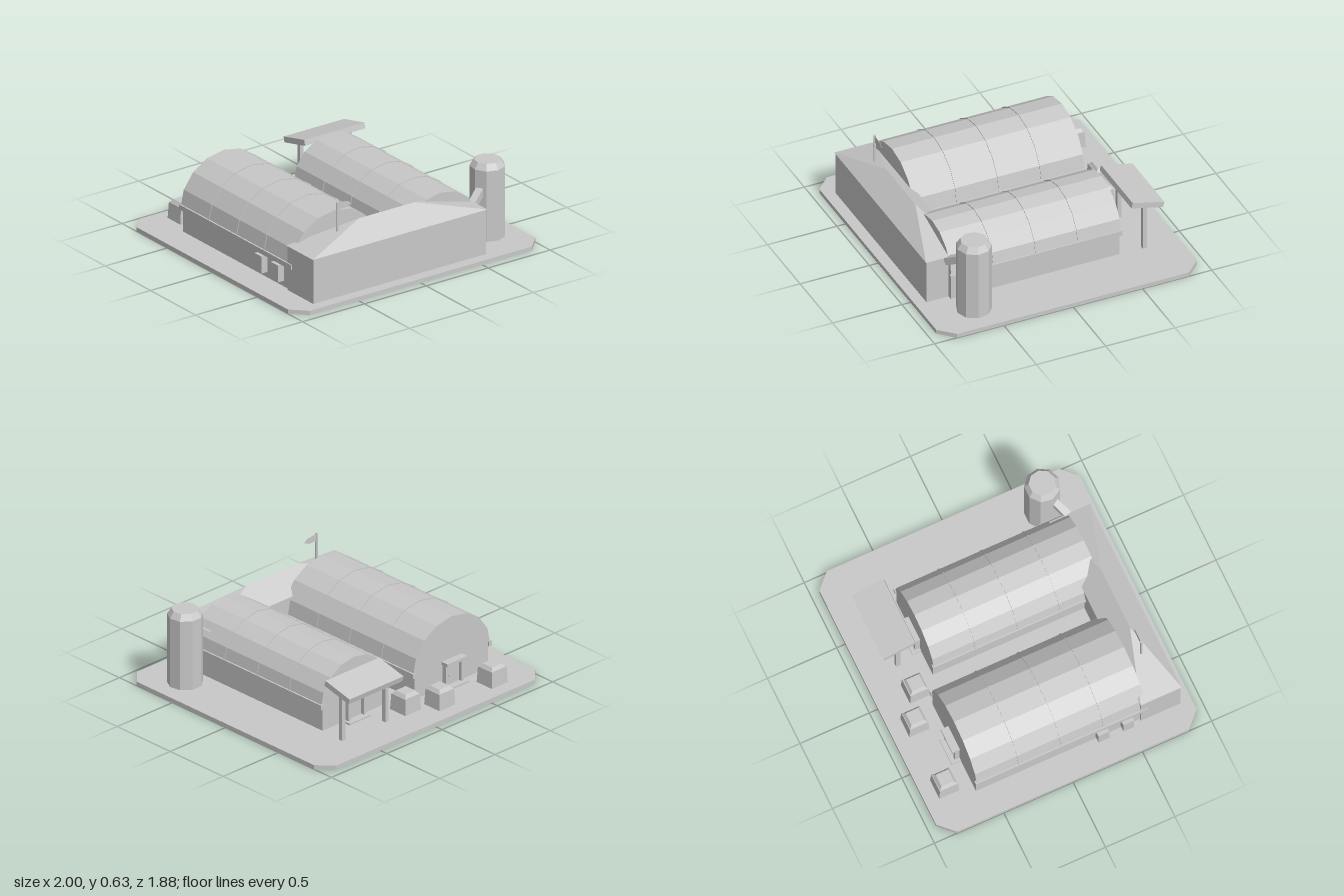
import * as THREE from 'three';

export function createModel() {
  const model = new THREE.Group();
  const concrete = new THREE.MeshStandardMaterial({ color: 0xc8c8c8, flatShading: true });
  concrete.name = 'pale grey';

  const add = (parent, name, geo, x = 0, y = 0, z = 0) => {
    const m = new THREE.Mesh(geo, concrete);
    m.name = name;
    m.position.set(x, y, z);
    parent.add(m);
    return m;
  };
  // Box given by its lowest y
  const box = (parent, name, w, h, d, x, y, z) =>
    add(parent, name, new THREE.BoxGeometry(w, h, d), x, y + h / 2, z);
  const extrude = (pts, depth) => new THREE.ExtrudeGeometry(
    new THREE.Shape(pts.map(p => new THREE.Vector2(...p))), { depth, bevelEnabled: false });
  // Eight-sided half ellipse
  const arch = (rx, ry) => Array.from({ length: 9 }, (_, i) => {
    const a = i * Math.PI / 8;
    return [rx * Math.cos(a), ry * Math.sin(a)];
  });

  // Ground slab with cut corners
  const c = 0.103, h = 0.94;
  const slab = add(model, 'groundSlab', extrude([
    [-1, -h + c], [-1 + c, -h], [1 - c, -h], [1, -h + c],
    [1, h - c], [1 - c, h], [-1 + c, h], [-1, h - c]], 0.03));
  slab.rotation.x = -Math.PI / 2;

  // Arched sheds
  function shed(name, x, z, half, spring, rise, length) {
    const g = new THREE.Group();
    g.name = name;
    g.position.set(x, 0, z);
    model.add(g);
    box(g, 'walls', half * 2 - 0.035, spring, length - 0.004, 0, 0, 0);
    add(g, 'archedRoof', extrude(arch(half, rise), length), 0, spring, -length / 2);
    for (const t of [-0.305, 0, 0.305]) {
      add(g, 'roofRib', extrude(arch(half + 0.004, rise + 0.006), 0.012), 0, spring, t - 0.006);
    }
    for (const s of [-1, 1]) {
      box(g, 'eaveBeam', 0.026, 0.035, length + 0.016, s * (half - 0.007), 0.19, 0);
    }
    // Rear doorway
    const back = -length / 2;
    box(g, 'doorStep', 0.2, 0.012, 0.065, 0, 0.03, back - 0.03);
    box(g, 'door', 0.11, 0.16, 0.016, 0, 0.035, back - 0.004);
    for (const s of [-1, 1]) box(g, 'doorPost', 0.022, 0.17, 0.035, s * 0.07, 0.03, back - 0.015);
    box(g, 'doorHood', 0.18, 0.022, 0.055, 0, 0.2, back - 0.026);
    add(g, 'doorKnob', new THREE.SphereGeometry(0.008, 6, 4), 0.035, 0.11, back - 0.018);
  }
  shed('largeShed', -0.464, 0.006, 0.35, 0.2, 0.325, 1.226);
  shed('smallShed', 0.335, 0.093, 0.298, 0.2, 0.275, 1.222);

  // Front hall with hipped roof
  box(model, 'hallWalls', 1.394, 0.317, 0.285, -0.115, 0.03, 0.7195);
  const E = [[-0.82, 0.347, 0.868], [0.59, 0.347, 0.868], [0.59, 0.347, 0.572], [-0.82, 0.347, 0.572]];
  const L = [-0.34, 0.47, 0.72], R = [0.11, 0.47, 0.72];
  const faces = [E[0], E[1], R, E[0], R, L, E[1], E[2], R, E[2], E[3], L, E[2], L, R,
    E[3], E[0], L, E[0], E[3], E[2], E[0], E[2], E[1]];
  const hip = new THREE.BufferGeometry();
  hip.setAttribute('position', new THREE.Float32BufferAttribute(faces.flat(), 3));
  hip.computeVertexNormals();
  add(model, 'hallRoof', hip);

  // Side boxes on the large shed
  for (const z of [0.295, 0.475]) box(model, 'sideVent', 0.05, 0.12, 0.078, -0.82, 0.07, z);

  // Flag
  add(model, 'flagPole', new THREE.CylinderGeometry(0.009, 0.009, 0.23, 8), -0.515, 0.515, 0.72);
  add(model, 'flag', extrude([[-0.51, 0.575], [-0.45, 0.575], [-0.4, 0.593],
    [-0.43, 0.617], [-0.51, 0.627]], 0.002), 0, 0, 0.719);

  // Silo and its sloping chute
  add(model, 'siloBody', new THREE.CylinderGeometry(0.119, 0.119, 0.5, 9), 0.778, 0.28, 0.612);
  add(model, 'siloCap', new THREE.CylinderGeometry(0.09, 0.119, 0.042, 9), 0.778, 0.551, 0.612);
  const from = new THREE.Vector3(0.7, 0.39, 0.65), to = new THREE.Vector3(0.575, 0.315, 0.712);
  const chute = add(model, 'chute', new THREE.BoxGeometry(0.05, 0.05, from.distanceTo(to)));
  chute.position.copy(from).lerp(to, 0.5);
  chute.lookAt(to);

  // Rear canopy on two posts
  const canopy = add(model, 'canopyRoof', new THREE.BoxGeometry(0.488, 0.04, 0.234), 0.417, 0.392, -0.699);
  canopy.rotation.x = -0.235;
  for (const s of [-1, 1]) box(model, 'canopyPost', 0.03, 0.35, 0.03, 0.415 + s * 0.195, 0.03, -0.695);

  // Crates with bevelled lids
  const frustum = (top, bottom, height) => new THREE.CylinderGeometry(
    top * Math.SQRT1_2, bottom * Math.SQRT1_2, height, 4).rotateY(Math.PI / 4);
  for (const [x, z] of [[-0.673, -0.772], [-0.203, -0.767], [0.007, -0.664]]) {
    const g = new THREE.Group();
    g.name = 'crate';
    g.position.set(x, 0, z);
    model.add(g);
    add(g, 'crateBody', frustum(0.132, 0.144, 0.115), 0, 0.0875, 0);
    add(g, 'crateLid', frustum(0.09, 0.122, 0.022), 0, 0.156, 0);
  }
  return model;
}
